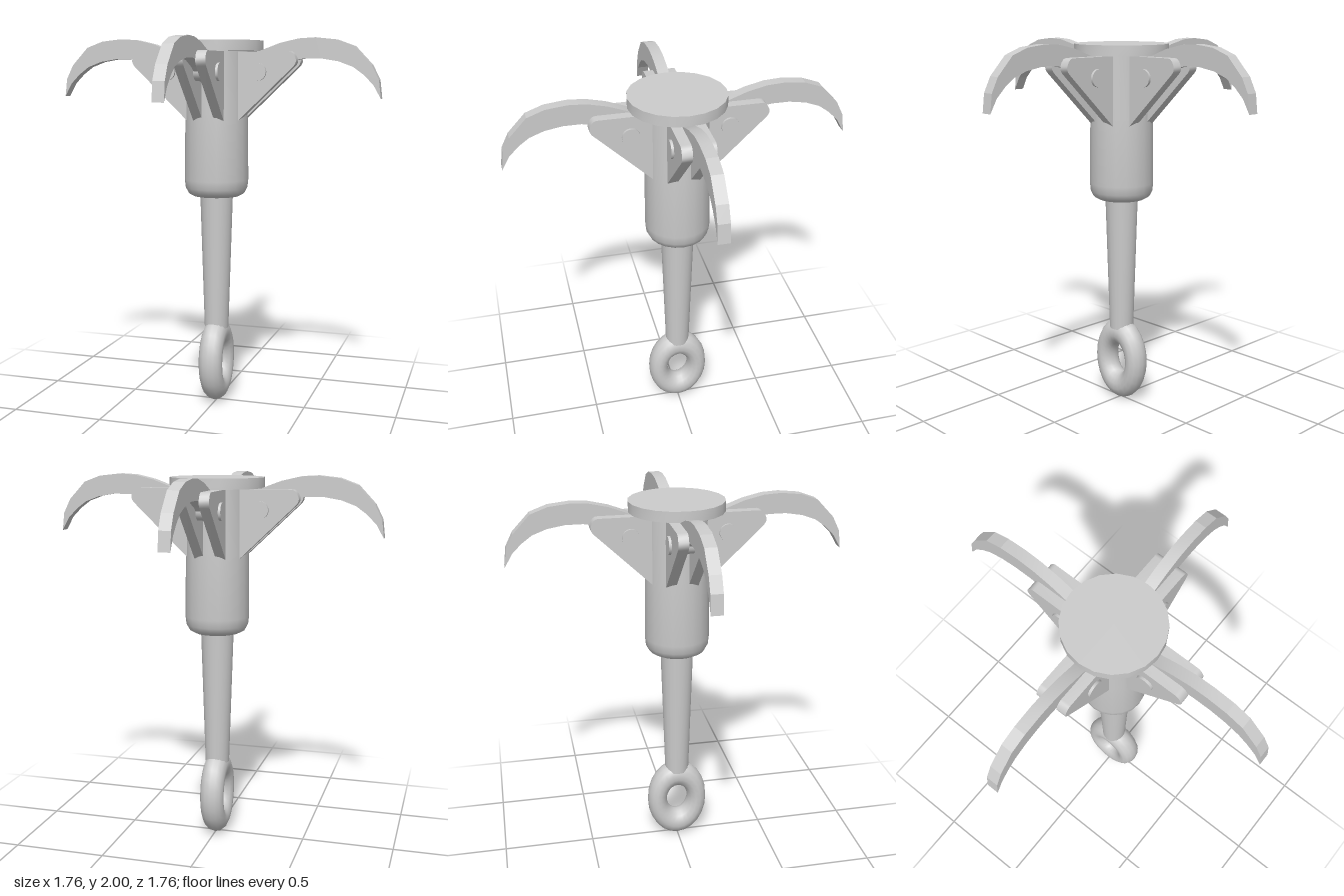
import * as THREE from 'three';
import { toCreasedNormals } from 'three/addons/utils/BufferGeometryUtils.js';

const material = new THREE.MeshStandardMaterial({ color: 0xcccccc });

function add(parent, name, geometry, crease = 0.7) {
  const mesh = new THREE.Mesh(toCreasedNormals(geometry, crease), material);
  mesh.name = name;
  parent.add(mesh);
  return mesh;
}

// Flat outline (radius, height) extruded sideways between z0 and z1
function slab(shape, z0, z1) {
  const g = new THREE.ExtrudeGeometry(shape, { depth: z1 - z0, bevelEnabled: false, curveSegments: 4 });
  return g.translate(0, 0, z0);
}

const outline = pts => new THREE.Shape(pts.map(p => new THREE.Vector2(...p)));

export function createModel() {
  const group = new THREE.Group();
  const body = new THREE.Group();
  body.name = 'body';
  body.position.x = -0.004;
  group.add(body);

  // Eye ring: oval torus standing in the yz plane
  const ring = new THREE.TorusGeometry(0.115, 0.055, 14, 24);
  ring.scale(1, 1.38, 1.2).rotateY(Math.PI / 2).translate(0, 0.235, 0);
  add(body, 'eyeRing', ring, 1.2);

  // Tapered shaft
  add(body, 'shaft', new THREE.CylinderGeometry(0.09, 0.066, 0.78, 20).translate(0, 0.81, 0));

  // Barrel with rounded lower edge
  const profile = [[0, 1.16], [0.125, 1.16], [0.152, 1.175], [0.168, 1.205], [0.173, 1.25], [0.168, 1.6], [0.167, 1.94]];
  add(body, 'barrel', new THREE.LatheGeometry(profile.map(p => new THREE.Vector2(...p)), 20));

  // Disc cap
  add(body, 'cap', new THREE.CylinderGeometry(0.25, 0.25, 0.055, 20).translate(0, 1.96, 0));

  // Triangular bracket plate with a rounded tip
  const plate = new THREE.Shape();
  plate.moveTo(0.08, 1.51);
  plate.lineTo(0.438, 1.853);
  plate.quadraticCurveTo(0.458, 1.876, 0.448, 1.895);
  plate.quadraticCurveTo(0.436, 1.93, 0.41, 1.93);
  plate.lineTo(0.08, 1.93);
  plate.closePath();

  // Curved claw: lower edge outwards to the tip, then back along the upper edge
  const claw = outline([
    [0.17, 1.77], [0.24, 1.79], [0.33, 1.85], [0.41, 1.882], [0.48, 1.893], [0.57, 1.893], [0.66, 1.878],
    [0.735, 1.85], [0.79, 1.81], [0.84, 1.76], [0.88, 1.69],
    [0.868, 1.785], [0.83, 1.86], [0.74, 1.955], [0.65, 1.988], [0.54, 2.0], [0.45, 1.995],
    [0.35, 1.972], [0.25, 1.935], [0.16, 1.88],
  ]);

  // Four arms around the barrel
  for (let i = 0; i < 4; i++) {
    const arm = new THREE.Group();
    arm.name = 'arm' + (i + 1);
    arm.rotation.y = i * Math.PI / 2;
    body.add(arm);
    add(arm, 'claw', slab(claw, -0.03, 0.03), 0.2);
    add(arm, 'bracketPlateFront', slab(plate, 0.032, 0.084), 0.4);
    add(arm, 'bracketPlateBack', slab(plate, -0.084, -0.032), 0.4);
    const pin = new THREE.CylinderGeometry(0.046, 0.046, 0.194, 16);
    add(arm, 'hingePin', pin.rotateX(Math.PI / 2).translate(0.25, 1.825, 0));
  }

  return group;
}
